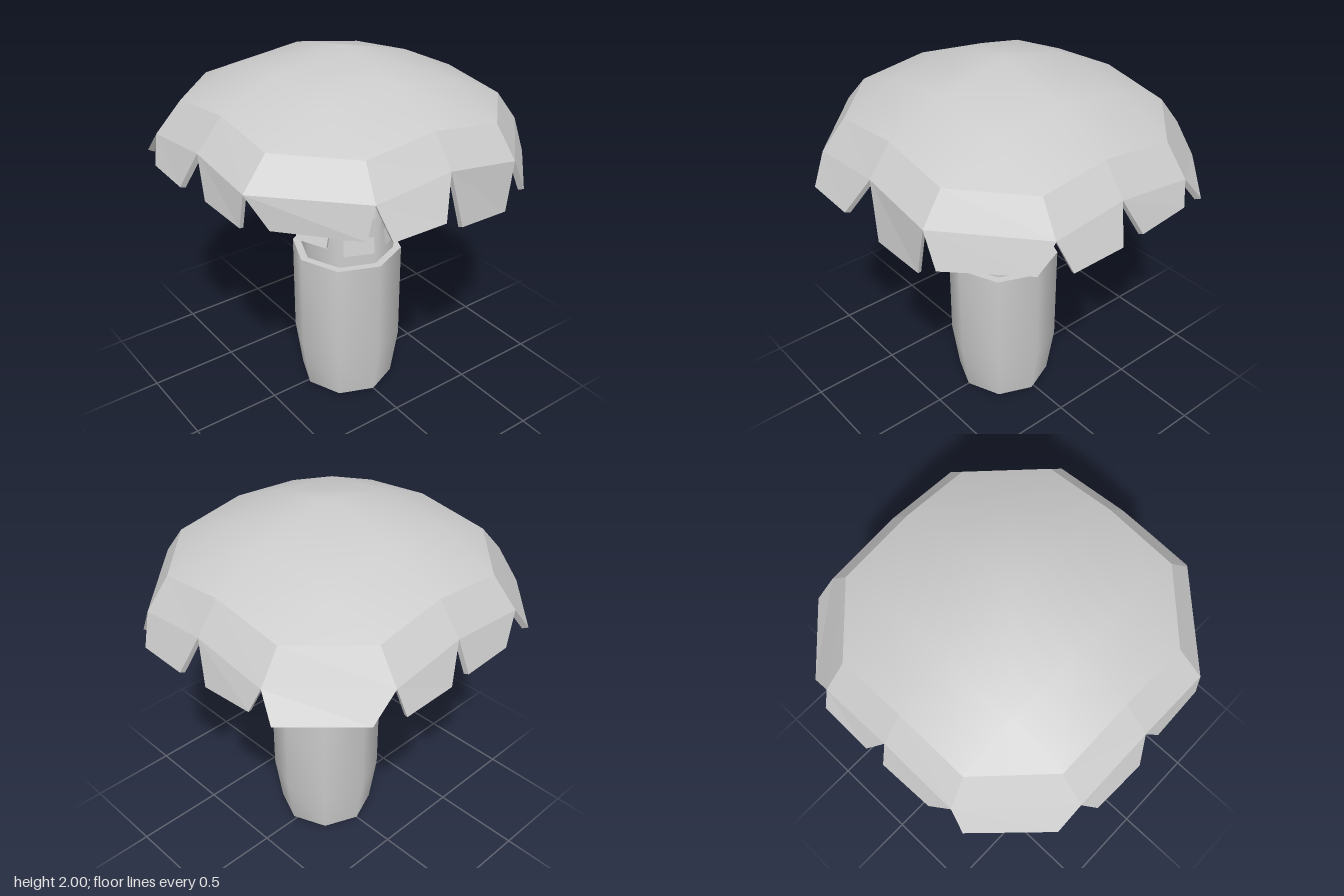
import * as THREE from 'three';
import { toCreasedNormals } from 'three/addons/utils/BufferGeometryUtils.js';

const material = new THREE.MeshStandardMaterial({ color: 0xcccccc });
const V = (x, y, z) => new THREE.Vector3(x, y, z);

function addMesh(parent, geometry, name) {
  const mesh = new THREE.Mesh(geometry, material);
  mesh.name = name;
  parent.add(mesh);
}

// Separate polygons (fans of points, counter-clockwise), flat shaded below the crease angle
function fromPolygons(polygons, crease = 0) {
  const points = [];
  for (const p of polygons)
    for (let k = 1; k < p.length - 1; k++) points.push(p[0], p[k], p[k + 1]);
  const geometry = new THREE.BufferGeometry().setFromPoints(points);
  if (crease) return toCreasedNormals(geometry, crease);
  geometry.computeVertexNormals();
  return geometry;
}

// Thick strip: rows of [left, right] points from top to bottom, seen from outside
function slab(rows, inset) {
  const inner = rows.map(row => row.map(inset));
  const polys = [];
  for (let r = 0; r < rows.length - 1; r++) {
    const [a, d] = rows[r], [b, c] = rows[r + 1];
    const [e, h] = inner[r], [f, g] = inner[r + 1];
    polys.push([a, b, c, d], [h, g, f, e], [a, e, f, b], [d, c, g, h]);
  }
  const n = rows.length - 1;
  polys.push([rows[n][0], inner[n][0], inner[n][1], rows[n][1]]);
  polys.push([rows[0][1], inner[0][1], inner[0][0], rows[0][0]]);
  return fromPolygons(polys);
}

const tilt = (x, z) => -0.035 * x + 0.015 * z;

// 5 x 5 grid of the dome with its four corners cut off
const HEIGHTS = [[2, 1.91, 1.77], [1.91, 1.85, 1.72], [1.77, 1.72, 0]];
function grid(xs, zs, drop) {
  return xs.map((x, i) => zs.map((z, j) => {
    const a = Math.abs(i - 2), b = Math.abs(j - 2);
    return a + b === 4 ? null : V(x, HEIGHTS[a][b] - drop + tilt(x, z), z);
  }));
}

// The twelve rim points, from front left round by the right side
const RIM = [[1, 4], [2, 4], [3, 4], [4, 3], [4, 2], [4, 1], [3, 0], [2, 0], [1, 0], [0, 1], [0, 2], [0, 3]];

// Lower edge of each rim flap: x, z, x, z, y, y
const FLAPS = [
  [-0.40, 0.905, -0.10, 0.915, 1.43, 1.43],
  [0.07, 0.845, 0.37, 0.83, 1.32, 1.30],
  [0.50, 0.82, 0.82, 0.50, 1.38, 1.38],
  [0.905, 0.36, 0.915, 0.06, 1.38, 1.39],
  [0.89, -0.10, 0.88, -0.40, 1.38, 1.40],
  [0.87, -0.54, 0.55, -0.85, 1.39, 1.39],
  [0.40, -0.915, 0.10, -0.92, 1.40, 1.41],
  [-0.02, -0.92, -0.32, -0.91, 1.42, 1.42],
  [-0.53, -0.89, -0.85, -0.58, 1.43, 1.44],
  [-0.91, -0.37, -0.92, -0.08, 1.45, 1.45],
  [-0.885, 0.10, -0.875, 0.40, 1.44, 1.43],
  [-0.78, 0.50, -0.48, 0.82, 1.43, 1.42],
];

function createCap() {
  const cap = new THREE.Group();
  cap.name = 'cap';
  const dome = grid([-0.715, -0.4, 0, 0.395, 0.715], [-0.735, -0.42, 0, 0.385, 0.7], 0);
  const edge = grid([-0.855, -0.435, 0, 0.415, 0.835], [-0.86, -0.44, 0, 0.41, 0.82], 0.16);
  const inset = p => V(p.x * 0.97, p.y - 0.01 - 0.02 * Math.max(0, (p.y - 1.5) / 0.5), p.z * 0.97);

  // Smooth dome and its underside
  const top = [];
  for (let i = 0; i < 4; i++)
    for (let j = 0; j < 4; j++)
      top.push([dome[i][j], dome[i][j + 1], dome[i + 1][j + 1], dome[i + 1][j]].filter(Boolean));
  addMesh(cap, fromPolygons(top, 1), 'dome');
  addMesh(cap, fromPolygons(top.map(p => p.map(inset).reverse()), 1), 'domeUnderside');

  // Faceted band and hanging flaps
  RIM.forEach(([i, j], k) => {
    const [m, n] = RIM[(k + 1) % 12];
    const [x0, z0, x1, z1, y0, y1] = FLAPS[k];
    addMesh(cap, slab([
      [dome[i][j], dome[m][n]],
      [edge[i][j], edge[m][n]],
      [V(x0, y0, z0), V(x1, y1, z1)],
    ], inset), 'capFlap');
  });
  return cap;
}

function eightSided(profile) {
  const points = profile.map(([r, y]) => new THREE.Vector2(r, y));
  return toCreasedNormals(new THREE.LatheGeometry(points, 8), 1);
}

function createStem() {
  const stem = new THREE.Group();
  stem.name = 'stem';
  stem.position.z = 0.02;
  addMesh(stem, eightSided([[0, 0], [0.265, 0], [0.305, 0.28], [0.305, 0.86], [0, 0.86]]), 'base');
  addMesh(stem, eightSided([[0.262, 0.85], [0.25, 1.45], [0.16, 1.95]]), 'neck');
  return stem;
}

// Ring of torn strips round the neck: each has its own lower edge and flare
function createSkirt() {
  const skirt = new THREE.Group();
  skirt.name = 'skirt';
  skirt.position.z = 0.01;
  const bottoms = [0.98, 1.06, 1.04, 0.95, 0.94, 1.03, 1.03, 0.955];
  const flares = [0.31, 0.37, 0.35, 0.345, 0.345, 0.355, 0.365, 0.315];
  const inset = p => V(p.x * 0.93, p.y - 0.005, p.z * 0.93);
  bottoms.forEach((low, k) => {
    const mid = (k + 0.5) * Math.PI / 4;
    const rows = [
      [0.258, 1.48, 0.39],
      [0.285, 1.4, 0.385],
      [flares[k] * 0.5 + 0.145, low + 0.2, 0.31],
      [flares[k] * 0.5 + 0.14, low + 0.09, 0.28],
      [flares[k], low, 0.27],
    ].map(([r, y, half]) => [-half, half].map(
      a => V(r * Math.sin(mid + a), y, r * Math.cos(mid + a))));
    addMesh(skirt, slab(rows, inset), 'skirtStrip');
  });
  return skirt;
}

export function createModel() {
  const model = new THREE.Group();
  model.name = 'mushroom';
  model.add(createCap(), createStem(), createSkirt());
  return model;
}
